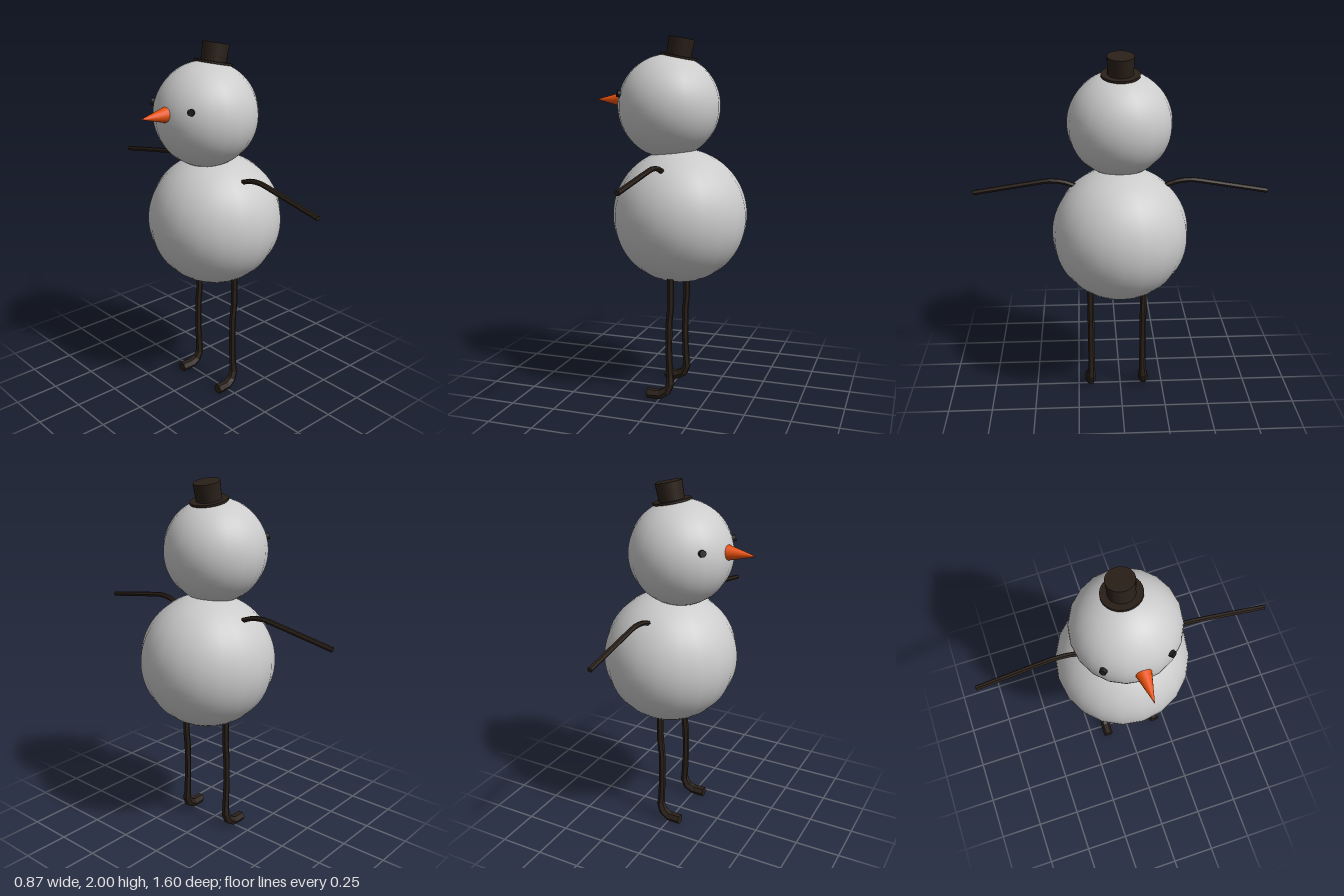
import * as THREE from 'three';

const snow = new THREE.MeshStandardMaterial({ color: 0xcccccc });
const wood = new THREE.MeshStandardMaterial({ color: 0x2a2019, flatShading: true });
const dark = new THREE.MeshStandardMaterial({ color: 0x2a2019 });
const eyeMat = new THREE.MeshStandardMaterial({ color: 0x1c1c1c });
const orange = new THREE.MeshStandardMaterial({ color: 0xe8500a });

function add(parent, name, geometry, material, x = 0, y = 0, z = 0) {
  const mesh = new THREE.Mesh(geometry, material);
  mesh.name = name;
  mesh.position.set(x, y, z);
  parent.add(mesh);
  return mesh;
}

// Capped limb swept along points [x, y, z, radius]; side is the fixed sideways axis.
function limb(points, side, sides = 6) {
  const centers = points.map(p => new THREE.Vector3(p[0], p[1], p[2]));
  const last = centers.length - 1;
  const pos = [], index = [];
  centers.forEach((c, i) => {
    const t = new THREE.Vector3();
    if (i < last) t.add(centers[i + 1].clone().sub(c).normalize());
    if (i > 0) t.add(c.clone().sub(centers[i - 1]).normalize());
    t.normalize();
    const n = side.clone().cross(t).normalize();
    const b = t.clone().cross(n);
    for (let j = 0; j < sides; j++) {
      const a = (j + 0.5) / sides * Math.PI * 2;
      const p = c.clone().addScaledVector(n, Math.cos(a) * points[i][3]).addScaledVector(b, Math.sin(a) * points[i][3]);
      pos.push(p.x, p.y, p.z);
    }
  });
  for (let i = 0; i < last; i++) {
    for (let j = 0; j < sides; j++) {
      const k = (j + 1) % sides;
      const a = i * sides + j, b = i * sides + k, c = a + sides, d = b + sides;
      index.push(a, b, d, a, d, c);
    }
  }
  for (let j = 1; j < sides - 1; j++) {
    const e = last * sides;
    index.push(0, j + 1, j, e, e + j, e + j + 1);
  }
  const g = new THREE.BufferGeometry();
  g.setAttribute('position', new THREE.Float32BufferAttribute(pos, 3));
  g.setIndex(index);
  g.computeVertexNormals();
  return g;
}

export function createModel() {
  const model = new THREE.Group();
  model.name = 'snowman';

  // Snowballs
  add(model, 'body', new THREE.SphereGeometry(0.373, 20, 32), snow, 0.06, 1.02, 0.003);
  add(model, 'head', new THREE.SphereGeometry(0.282, 20, 32), snow, -0.005, 1.62, 0.002);

  // Carrot nose pointing to -x
  const nose = add(model, 'nose', new THREE.ConeGeometry(0.043, 0.165, 16), orange, -0.3525, 1.655, 0);
  nose.rotation.z = Math.PI / 2;

  // Flat eyes lying on the head
  const headCenter = new THREE.Vector3(-0.005, 1.62, 0);
  for (const [name, x, z] of [['leftEye', -0.237, 0.156], ['rightEye', -0.217, -0.18]]) {
    const eye = add(model, name, new THREE.CylinderGeometry(0.018, 0.019, 0.022, 12), eyeMat, x, 1.688, z);
    const out = eye.position.clone().sub(headCenter).normalize();
    eye.quaternion.setFromUnitVectors(new THREE.Vector3(0, 1, 0), out);
  }

  // Tilted top hat
  const hat = new THREE.Group();
  hat.name = 'hat';
  hat.position.set(0.048, 1.888, 0);
  hat.rotation.z = -0.2;
  add(hat, 'hatBrim', new THREE.CylinderGeometry(0.103, 0.103, 0.012, 24), dark);
  add(hat, 'hatCrown', new THREE.CylinderGeometry(0.072, 0.068, 0.106, 24), dark, 0, 0.048, 0);
  model.add(hat);

  // Stick arms, bent near the shoulder
  const xAxis = new THREE.Vector3(1, 0, 0);
  const arm = [[0.22, 1.276], [0.26, 1.294], [0.3, 1.308], [0.34, 1.315], [0.385, 1.317], [0.43, 1.311], [0.8, 1.248]];
  const leftArm = arm.map(([z, y]) => [0.04 - (z - 0.22) * 0.05, y, z, 0.014]);
  const rightArm = arm.map(([z, y]) => [0.06, y + 0.004, -z, 0.014]);
  add(model, 'leftArm', limb(leftArm, xAxis), wood);
  add(model, 'rightArm', limb(rightArm, xAxis), wood);

  // Legs curving into feet that point to -x: [x, y, radius, outward shift]
  const leg = [
    [0.06, 0.695, 0.019, 0], [0.06, 0.53, 0.019, 0], [0.051, 0.44, 0.019, 0],
    [0.05, 0.28, 0.019, 0], [0.057, 0.14, 0.02, 0], [0.06, 0.095, 0.024, 0.003],
    [0.04, 0.05, 0.027, 0.006], [0, 0.028, 0.029, 0.01], [-0.072, 0.028, 0.029, 0.011],
  ];
  const zAxis = new THREE.Vector3(0, 0, 1);
  for (const [name, z, s] of [['leftLeg', 0.172, 1], ['rightLeg', -0.13, -1]]) {
    add(model, name, limb(leg.map(([x, y, r, d]) => [x, y, z + s * d, r]), zAxis), wood);
  }
  return model;
}
